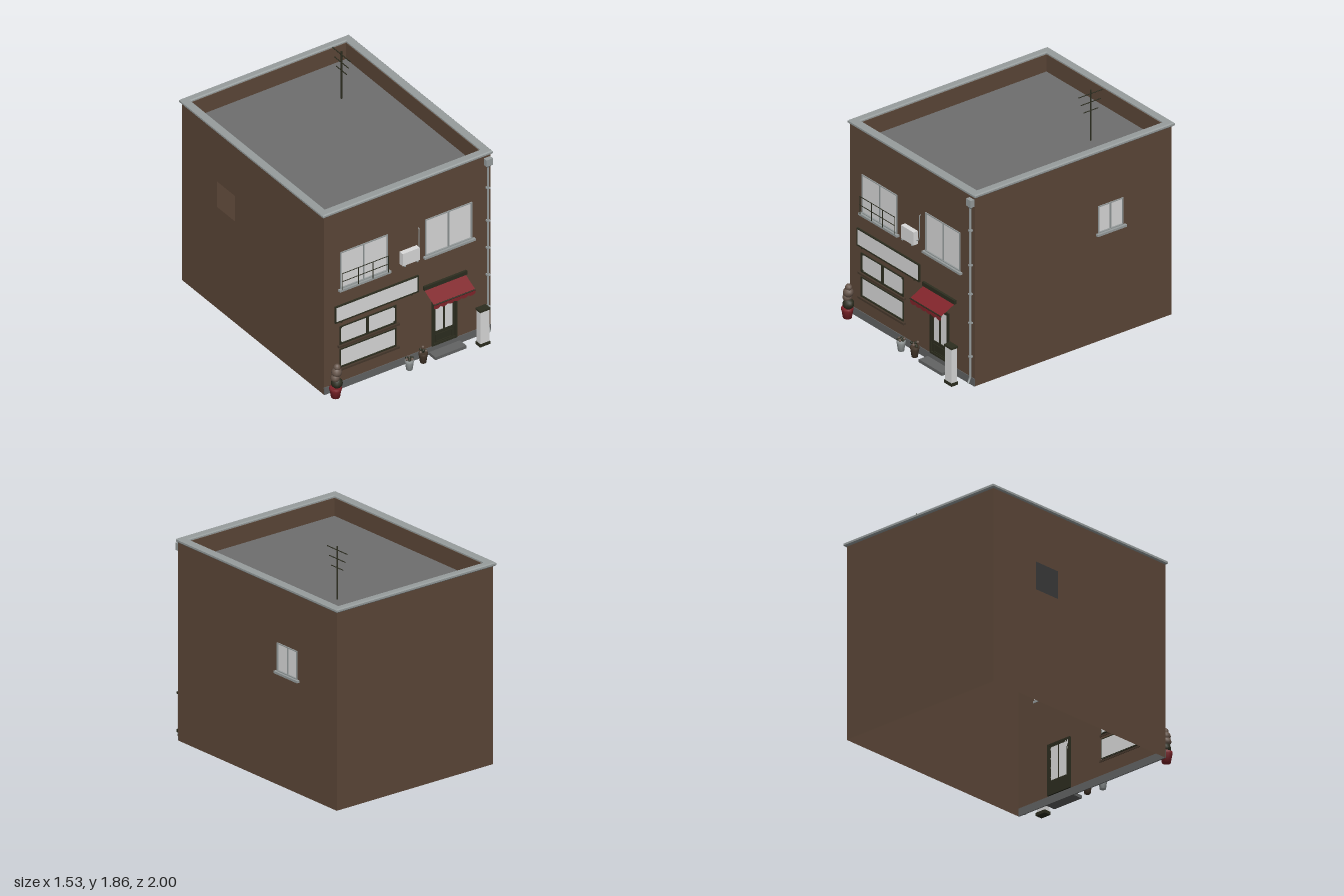
import * as THREE from 'three';

const mat = (name, color, double) => {
  const m = new THREE.MeshStandardMaterial({ color });
  m.name = name;
  if (double) m.side = THREE.DoubleSide;
  return m;
};

export function createModel() {
  const M = {
    brick: mat('brown brick', 0x5c4738, true),
    roof: mat('roof grey', 0x6e6e6e, true),
    stone: mat('light stone', 0x979d9d),
    plinth: mat('concrete', 0x626363),
    white: mat('white', 0xdadada),
    olive: mat('dark olive', 0x2c2d1f),
    red: mat('awning red', 0x80242a, true),
    bush: mat('brown foliage', 0x66554a),
    bronze: mat('dark brown', 0x46382c),
  };
  const root = new THREE.Group();
  const X0 = -0.75, X1 = 0.74, ZB = -0.98, ZF = 0.86, TOP = 1.58, ROOF = 1.44;

  const group = (name, x = 0, y = 0, z = 0, parent = root) => {
    const g = new THREE.Group();
    g.name = name;
    g.position.set(x, y, z);
    parent.add(g);
    return g;
  };
  const add = (parent, name, geo, m, x = 0, y = 0, z = 0) => {
    const mesh = new THREE.Mesh(geo, m);
    mesh.name = name;
    mesh.position.set(x, y, z);
    parent.add(mesh);
    return mesh;
  };
  // Box given by its limits
  const box = (p, name, m, x0, x1, y0, y1, z0, z1) =>
    add(p, name, new THREE.BoxGeometry(x1 - x0, y1 - y0, z1 - z0), m, (x0 + x1) / 2, (y0 + y1) / 2, (z0 + z1) / 2);
  const corners = (x0, x1, y0, y1) => [[x0, y0], [x1, y0], [x1, y1], [x0, y1]].map(c => new THREE.Vector2(...c));
  const rect = (x0, x1, y0, y1, holes = []) => {
    const s = new THREE.Shape(corners(x0, x1, y0, y1));
    holes.forEach(h => s.holes.push(new THREE.Path(corners(...h))));
    return s;
  };
  const frame = (p, name, m, x0, x1, y0, y1, t, z0, z1) =>
    add(p, name, new THREE.ExtrudeGeometry(rect(x0, x1, y0, y1, [[x0 + t, x1 - t, y0 + t, y1 - t]]),
      { depth: z1 - z0, bevelEnabled: false }), m, 0, 0, z0);
  const rod = (p, name, m, a, b, r, sides = 8) => {
    const A = new THREE.Vector3(...a), B = new THREE.Vector3(...b);
    const mesh = add(p, name, new THREE.CylinderGeometry(r, r, A.distanceTo(B), sides), m);
    mesh.position.copy(A).add(B).multiplyScalar(0.5);
    mesh.quaternion.setFromUnitVectors(new THREE.Vector3(0, 1, 0), B.sub(A).normalize());
    return mesh;
  };
  const tube = (p, name, m, pts, r) => add(p, name, new THREE.TubeGeometry(
    new THREE.CatmullRomCurve3(pts.map(v => new THREE.Vector3(...v)), false, 'catmullrom', 0.1), 24, r, 8), m);

  // Thin walls with openings, open underneath
  const walls = group('walls');
  const upper = [[-0.605, -0.182, 0.888, 1.21], [0.155, 0.572, 0.888, 1.21]];
  const lower = [[-0.61, -0.108, 0.395, 0.555], [-0.61, -0.108, 0.19, 0.355]];
  const side = [0.292, 0.527, 0.9, 1.125];
  const door = [0.21, 0.437, 0.065, 0.48];
  const wall = (name, s, x, z, turn) => {
    add(walls, name, new THREE.ShapeGeometry(s), M.brick, x, 0, z).rotation.y = turn;
  };
  wall('frontWall', rect(X0, X1, 0, TOP, [...upper, ...lower, door]), 0, ZF, 0);
  wall('backWall', rect(-X1, -X0, 0, TOP), 0, ZB, Math.PI);
  wall('leftWall', rect(-ZF, -ZB, 0, TOP, [side]), X1, 0, Math.PI / 2);
  wall('rightWall', rect(ZB, ZF, 0, TOP, [[-side[1], -side[0], side[2], side[3]]]), X0, 0, -Math.PI / 2);

  // Sunken flat roof, parapet and coping
  const roof = add(root, 'roof', new THREE.PlaneGeometry(X1 - X0 - 0.01, ZF - ZB - 0.01), M.roof, (X0 + X1) / 2, ROOF, (ZF + ZB) / 2);
  roof.rotation.x = -Math.PI / 2;
  const inner = [-0.695, 0.685, -0.795, 0.935];
  const parapet = add(root, 'parapet', new THREE.ExtrudeGeometry(rect(X0 + 0.004, X1 - 0.004, -ZF + 0.004, -ZB - 0.004, [inner]),
    { depth: TOP - ROOF, bevelEnabled: false }), M.brick, 0, ROOF, 0);
  parapet.rotation.x = -Math.PI / 2;
  const coping = add(root, 'coping', new THREE.ExtrudeGeometry(rect(-0.757, 0.747, -0.862, 0.992, [[-0.708, 0.698, -0.808, 0.948]]),
    { depth: 0.014, bevelThickness: 0.008, bevelSize: 0.008, bevelSegments: 1 }), M.stone, 0, 1.577, 0);
  coping.rotation.x = -Math.PI / 2;

  // Aerial
  const aerial = group('aerial', 0.36, 0, -0.523);
  rod(aerial, 'mast', M.olive, [0, ROOF, 0], [0, 1.86, 0], 0.006);
  [[1.83, 0.115], [1.76, 0.092], [1.69, 0.068]].forEach(([y, h]) =>
    rod(aerial, 'aerialBar', M.olive, [0, y, -h], [0, y, h], 0.004, 6));

  // Everything on the front is placed from the wall surface outwards
  const front = group('front', 0, 0, ZF);
  box(front, 'plinth', M.plinth, X0, X1, 0, 0.063, -0.004, 0.005);
  box(front, 'doorStep', M.plinth, 0.185, 0.462, 0, 0.025, 0, 0.09);

  // Sash windows with stone sills
  const sashWindow = (p, [x0, x1, y0, y1]) => {
    const g = group('sashWindow', 0, 0, 0, p), c = (x0 + x1) / 2;
    box(g, 'pane', M.white, x0, x1, y0, y1, -0.012, -0.004);
    frame(g, 'windowFrame', M.stone, x0, x1, y0, y1, 0.008, -0.01, 0.008);
    box(g, 'mullion', M.stone, c - 0.005, c + 0.005, y0, y1, -0.006, 0.004);
    box(g, 'sill', M.stone, x0 - 0.018, x1 + 0.02, y0 - 0.018, y0, -0.005, 0.024);
  };
  upper.forEach(w => sashWindow(front, w));
  const sideFace = group('sideWindow', X1, 0, 0);
  sideFace.rotation.y = Math.PI / 2;
  sashWindow(sideFace, side);

  // Window railing
  const railing = group('railing', 0, 0, 0.025, front);
  [1.033, 0.962].forEach(y => rod(railing, 'rail', M.olive, [-0.605, y, 0], [-0.185, y, 0], 0.003, 6));
  [-0.6, -0.46, -0.33, -0.19].forEach(x => rod(railing, 'railPost', M.olive, [x, 0.888, 0], [x, 1.035, 0], 0.003, 6));

  // Shop windows
  lower.forEach(([x0, x1, y0, y1], i) => {
    const g = group('shopWindow', 0, 0, 0, front);
    box(g, 'pane', M.white, x0, x1, y0, y1, -0.012, -0.004);
    frame(g, 'shopFrame', M.olive, x0 - 0.003, x1 + 0.003, y0, y1, 0.008, -0.012, 0.008);
    box(g, 'shopSill', M.bronze, x0 - 0.02, x1 + 0.024, y0 - 0.018, y0 - 0.002, -0.005, 0.022);
    if (i) return;
    box(g, 'shopMullion', M.olive, -0.371, -0.351, y0, y1, -0.012, 0.006);
    [x0, x1 - 0.018].forEach(x => [y0, y1 - 0.018].forEach(y =>
      box(g, 'cornerBlock', M.olive, x, x + 0.018, y, y + 0.018, -0.01, 0.007)));
  });

  // Blank sign board
  const sign = group('signBoard', 0, 0, 0, front);
  box(sign, 'signFace', M.white, -0.65, 0.085, 0.605, 0.74, 0.001, 0.009);
  frame(sign, 'signFrame', M.olive, -0.656, 0.09, 0.6, 0.746, 0.009, 0, 0.014);
  [-0.6, 0.03].forEach(x => box(sign, 'signBracket', M.olive, x - 0.005, x + 0.005, 0.59, 0.602, 0, 0.012));

  // Glazed door
  const d = group('door', 0, 0, 0, front);
  frame(d, 'doorFrame', M.olive, ...door, 0.018, -0.014, 0.01);
  box(d, 'doorGlass', M.white, 0.228, 0.42, 0.17, 0.465, -0.012, -0.005);
  frame(d, 'doorStiles', M.olive, 0.228, 0.419, 0.165, 0.465, 0.016, -0.012, 0.002);
  box(d, 'doorBar', M.olive, 0.317, 0.331, 0.17, 0.46, -0.012, 0.002);
  box(d, 'doorPanel', M.olive, 0.225, 0.42, 0.065, 0.17, -0.012, -0.002);
  frame(d, 'panelTrim', M.olive, 0.245, 0.402, 0.082, 0.155, 0.012, -0.003, 0.004);

  // Awning: sloped cloth with a scalloped valance
  const awning = group('awning', 0, 0, 0, front);
  const slope = [0.08, 0.135], run = Math.hypot(0.065, 0.13);
  box(awning, 'awningHeader', M.olive, 0.134, 0.52, 0.595, 0.627, 0, 0.02);
  const cloth = add(awning, 'awningCloth', new THREE.PlaneGeometry(0.37, run), M.red, 0.325, 0.5625, 0.07);
  cloth.rotation.x = -Math.atan2(0.13, 0.065);
  rod(awning, 'awningBar', M.olive, [0.14, 0.528, slope[1]], [0.51, 0.528, slope[1]], 0.005);
  const valance = new THREE.Shape();
  valance.moveTo(0.14, 0.53).lineTo(0.14, 0.5);
  const n = 6, step = 0.37 / n;
  for (let i = 0; i < n; i++)
    valance.quadraticCurveTo(0.14 + step * (i + 0.5), 0.475, 0.14 + step * (i + 1), 0.5);
  valance.lineTo(0.51, 0.53);
  add(awning, 'valance', new THREE.ShapeGeometry(valance), M.red, 0, 0, slope[1]);

  // Air conditioner with its pipe
  const ac = group('airConditioner', 0, 0, 0, front);
  box(ac, 'acCase', M.white, -0.08, 0.072, 0.912, 1.02, 0.008, 0.05);
  [-0.062, 0.052].forEach(x => box(ac, 'acBracket', M.stone, x - 0.006, x + 0.006, 0.902, 0.912, 0, 0.055));
  tube(ac, 'acPipe', M.stone, [[0.07, 0.945, 0.02], [0.086, 0.95, 0.015], [0.091, 0.98, 0.01], [0.094, 1.155, 0.01], [0.094, 1.16, 0]], 0.004);

  // Rain head and downpipe
  const drain = group('downpipe', 0.706, 0, 0, front);
  box(drain, 'rainHead', M.stone, -0.027, 0.03, 1.495, 1.553, -0.08, 0.036);
  const cone = add(drain, 'rainFunnel', new THREE.CylinderGeometry(0.032, 0.014, 0.018, 4, 1, false, Math.PI / 4), M.stone, 0, 1.486, 0.016);
  cone.scale.z = 0.7;
  tube(drain, 'pipe', M.stone, [[0, 1.49, 0.016], [0, 0.8, 0.016], [0, 0.06, 0.016], [0, 0.035, 0.022], [0.004, 0.022, 0.04]], 0.009);
  [1.29, 1.0, 0.76, 0.52, 0.24].forEach(y => box(drain, 'pipeClip', M.stone, -0.013, 0.013, y - 0.006, y + 0.006, 0, 0.028));

  // Standing sign post
  const post = group('signPost');
  box(post, 'postBody', M.white, 0.556, 0.635, 0.02, 0.31, 0.943, 0.995);
  box(post, 'postCap', M.olive, 0.55, 0.641, 0.305, 0.32, 0.938, 1);
  box(post, 'postBase', M.olive, 0.55, 0.641, 0, 0.025, 0.938, 1);

  // Potted topiary and two small plant pots
  const pot = (p, m, r0, r1, h) => {
    const pts = [[0, 0], [r0, 0], [r1 * 0.95, h * 0.78], [r1, h * 0.78], [r1, h], [r1 * 0.85, h], [0, h * 0.9]];
    add(p, 'pot', new THREE.LatheGeometry(pts.map(v => new THREE.Vector2(...v)), 12), m);
  };
  const ball = (p, m, r, x, y, z) => add(p, 'foliage', new THREE.IcosahedronGeometry(r, 1), m, x, y, z);
  const topiary = group('topiary', -0.694, 0, 0.928);
  pot(topiary, M.red, 0.034, 0.047, 0.085);
  rod(topiary, 'trunk', M.bronze, [0, 0.06, 0], [0.01, 0.27, 0], 0.008);
  [[0.045, 0.012, 0.12, M.olive], [0.036, -0.003, 0.17, M.bush], [0.041, 0.01, 0.215, M.bush], [0.028, 0.014, 0.257, M.bush]]
    .forEach(([r, x, y, m]) => ball(topiary, m, r, x, y, 0));
  [[-0.04, 0.938, M.stone, 0.085], [0.097, 0.918, M.bronze, 0.085]].forEach(([x, z, m, h], k) => {
    const g = group('plantPot', x, 0, z);
    pot(g, m, 0.024, 0.035, h);
    for (let i = 0; i < 6; i++) {
      const a = i * Math.PI / 3;
      ball(g, i % 2 ? M.bush : M.olive, 0.011, Math.cos(a) * 0.023, h + 0.01 + k * 0.012 * (i % 3), Math.sin(a) * 0.023);
    }
    ball(g, M.olive, 0.014, 0, h + 0.012, 0);
  });
  return root;
}
